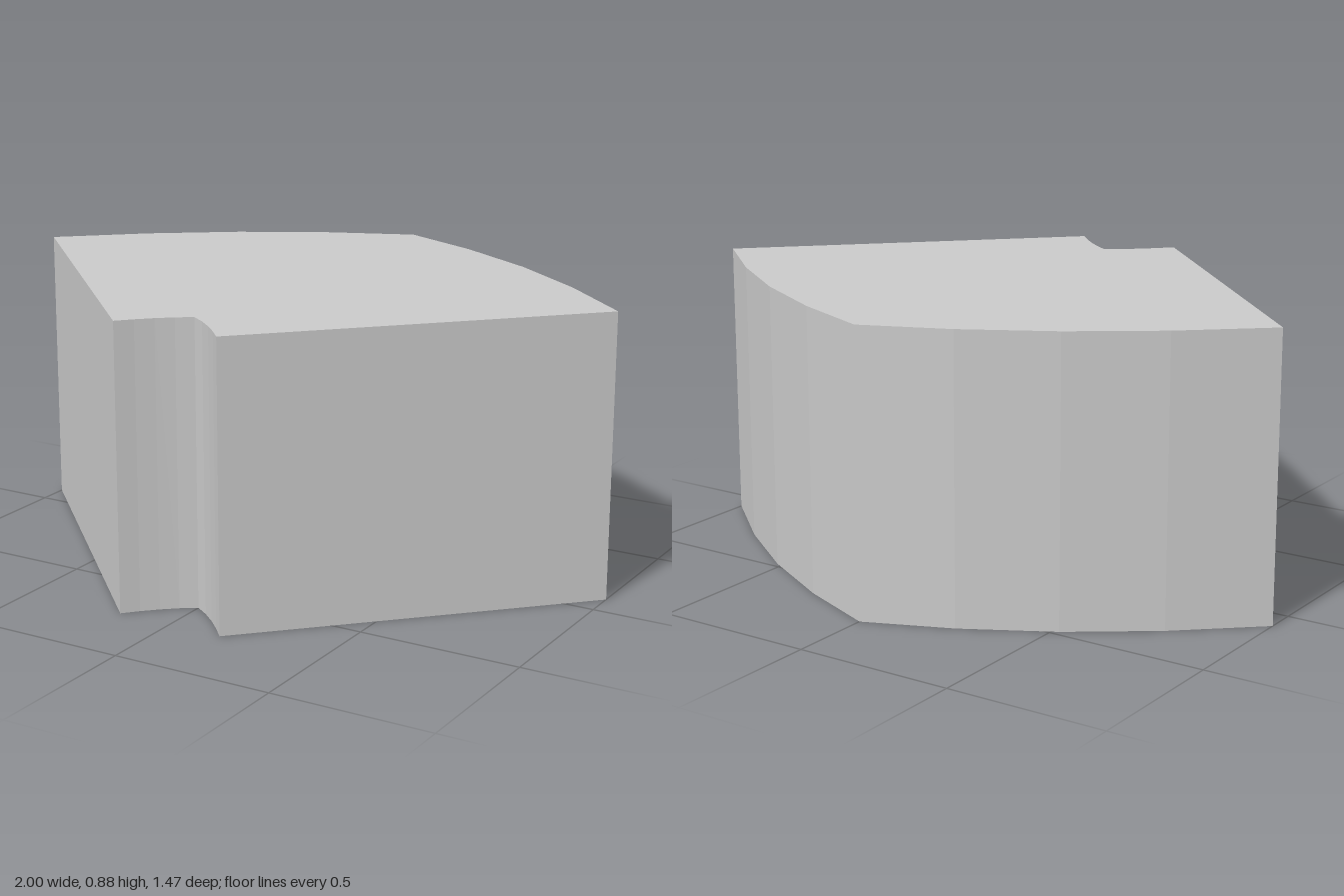
import * as THREE from 'three';

// Right half of the plan outline as [x, z], from the back ridge to the front notch
const outerArc = [[0, -0.735], [0.26, -0.625], [0.52, -0.48], [0.765, -0.303], [1, -0.095]];
const notchArc = [[0.172, 0.733], [0.132, 0.689], [0.09, 0.648], [0.046, 0.611], [0, 0.58]];
const HEIGHT = 0.878;

export function createModel() {
  const group = new THREE.Group();
  group.name = 'curvedWedgeBlock';

  // Mirror the half outline; shape y is -z so the extrusion can be stood upright
  const half = [...outerArc, ...notchArc];
  const mirrored = half.slice(1, -1).reverse().map(([x, z]) => [-x, z]);
  const outline = [...half, ...mirrored].map(([x, z]) => new THREE.Vector2(x, -z));

  // Prism with flat facets along both arcs
  const geometry = new THREE.ExtrudeGeometry(new THREE.Shape(outline), {
    depth: HEIGHT,
    bevelEnabled: false,
  });
  geometry.rotateX(-Math.PI / 2);

  const block = new THREE.Mesh(
    geometry,
    new THREE.MeshStandardMaterial({ color: 0xcccccc, flatShading: true })
  );
  block.name = 'block';
  group.add(block);
  return group;
}
